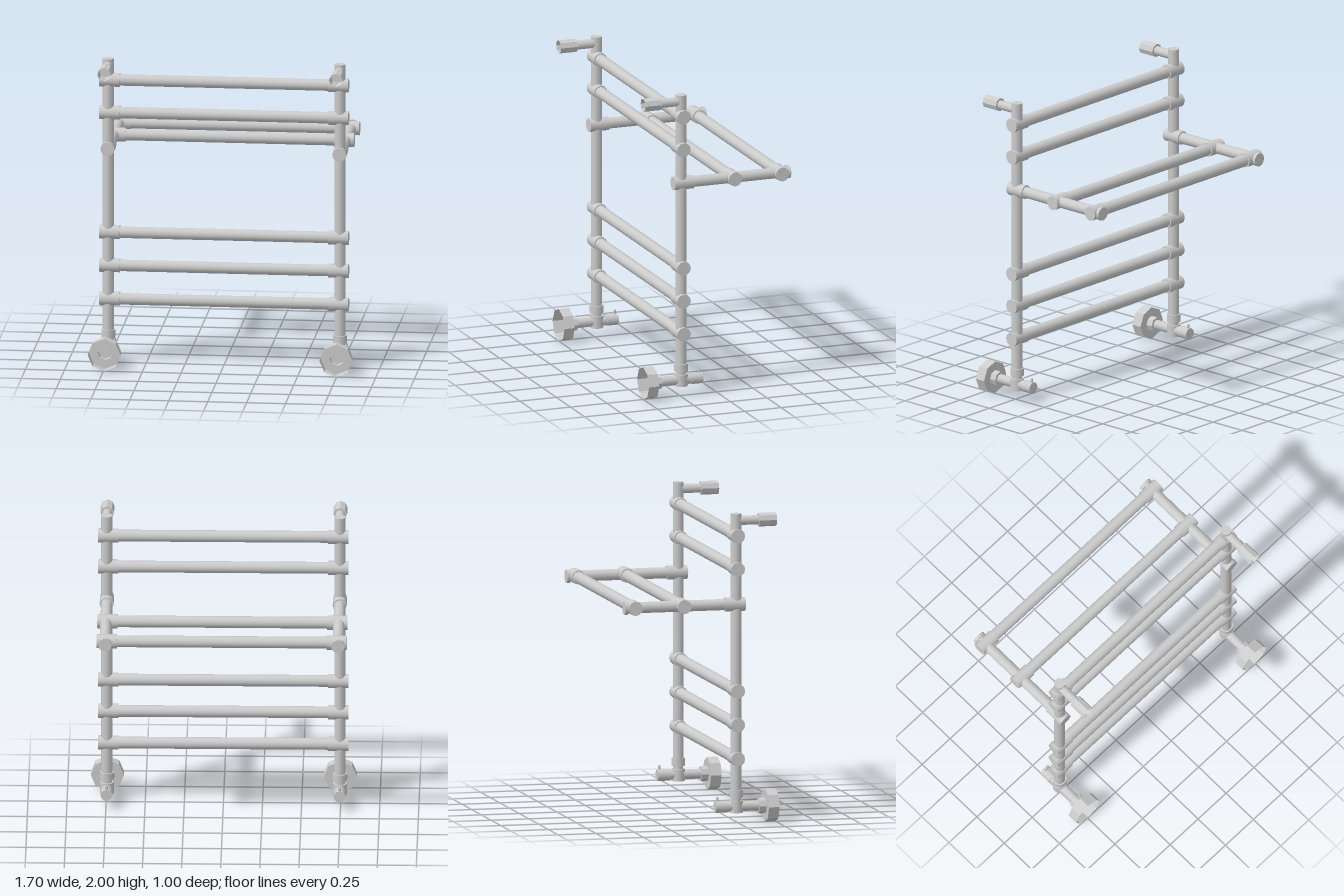
import * as THREE from 'three';

const material = new THREE.MeshStandardMaterial({ color: 0xcccccc });
const shellMaterial = new THREE.MeshStandardMaterial({
  color: 0xcccccc, flatShading: true, side: THREE.DoubleSide,
});

// Round pipe between two coordinates on one axis, centred on (x, y, z) otherwise
function pipe(parent, name, axis, from, to, radius, [x, y, z], sides = 12) {
  const geometry = new THREE.CylinderGeometry(radius, radius, Math.abs(to - from), sides);
  if (axis === 'x') geometry.rotateZ(Math.PI / 2);
  if (axis === 'z') geometry.rotateX(Math.PI / 2);
  const mesh = new THREE.Mesh(geometry, material);
  mesh.position.set(x, y, z);
  mesh.position[axis] = (from + to) / 2;
  mesh.name = name;
  parent.add(mesh);
}

// Eight-sided hollow shell, open to the front; profile holds [radius, z]
function shell(parent, name, profile, x, y) {
  const points = profile.map(([r, z]) => new THREE.Vector2(r, z));
  const geometry = new THREE.LatheGeometry(points, 8);
  geometry.rotateX(Math.PI / 2);
  const mesh = new THREE.Mesh(geometry, shellMaterial);
  mesh.position.set(x, y, 0);
  mesh.name = name;
  parent.add(mesh);
}

const SIDE_X = 0.745;
const RAIL_Z = 0.24;
const SHELF_Y = 1.415;
const VALVE_Y = 0.11;

// Cross bar with a wider socket over each end
function crossBar(parent, name, y, z) {
  const bar = new THREE.Group();
  bar.name = name;
  pipe(bar, 'bar', 'x', -0.7, 0.7, 0.038, [0, y, z]);
  for (const s of [-1, 1]) pipe(bar, 'barSocket', 'x', s * 0.67, s * 0.8, 0.046, [0, y, z]);
  parent.add(bar);
}

// Upright with wall bracket, shelf arm and valve
function sideFrame(x) {
  const side = new THREE.Group();
  side.name = x > 0 ? 'leftSide' : 'rightSide';
  pipe(side, 'upright', 'y', 0.19, 2, 0.036, [x, 0, RAIL_Z]);

  // Upper wall bracket
  pipe(side, 'bracketRod', 'z', RAIL_Z, 0.39, 0.03, [x, 1.955, 0]);
  shell(side, 'bracketCup', [[0, 0.385], [0.044, 0.385], [0.044, 0.5]], x, 1.955);

  // Shelf arm
  pipe(side, 'shelfArm', 'z', 0.2, -0.49, 0.036, [x, SHELF_Y, 0]);
  pipe(side, 'shelfArmSocket', 'z', 0.295, 0.163, 0.045, [x, SHELF_Y, 0]);
  pipe(side, 'shelfArmCap', 'z', -0.478, -0.5, 0.044, [x, SHELF_Y, 0]);

  // Valve below the upright
  const valve = new THREE.Group();
  valve.name = 'valve';
  pipe(valve, 'valveNut', 'y', 0.168, 0.218, 0.045, [x, 0, RAIL_Z]);
  pipe(valve, 'valveNeck', 'y', 0.14, 0.175, 0.033, [x, 0, RAIL_Z]);
  pipe(valve, 'valveBody', 'y', 0.07, 0.148, 0.044, [x, 0, RAIL_Z]);
  pipe(valve, 'valveRod', 'z', RAIL_Z, 0.39, 0.032, [x, VALVE_Y, 0]);
  pipe(valve, 'valveStem', 'z', RAIL_Z, 0.17, 0.032, [x, VALVE_Y, 0]);
  pipe(valve, 'valveHead', 'z', 0.18, 0.1, 0.038, [x, VALVE_Y, 0]);
  pipe(valve, 'valvePin', 'y', VALVE_Y, 0.172, 0.009, [x, 0, 0.115], 8);
  shell(valve, 'wallFlange',
    [[0, 0.385], [0.049, 0.385], [0.049, 0.43], [0.106, 0.43], [0.106, 0.5]], x, VALVE_Y);
  side.add(valve);
  return side;
}

export function createModel() {
  const model = new THREE.Group();
  model.name = 'towelRail';
  for (const s of [-1, 1]) model.add(sideFrame(s * SIDE_X));
  for (const y of [0.42, 0.64, 0.858, 1.645, 1.86]) crossBar(model, 'rail', y, RAIL_Z);
  for (const z of [-0.113, -0.436]) crossBar(model, 'shelfBar', SHELF_Y, z);
  return model;
}
